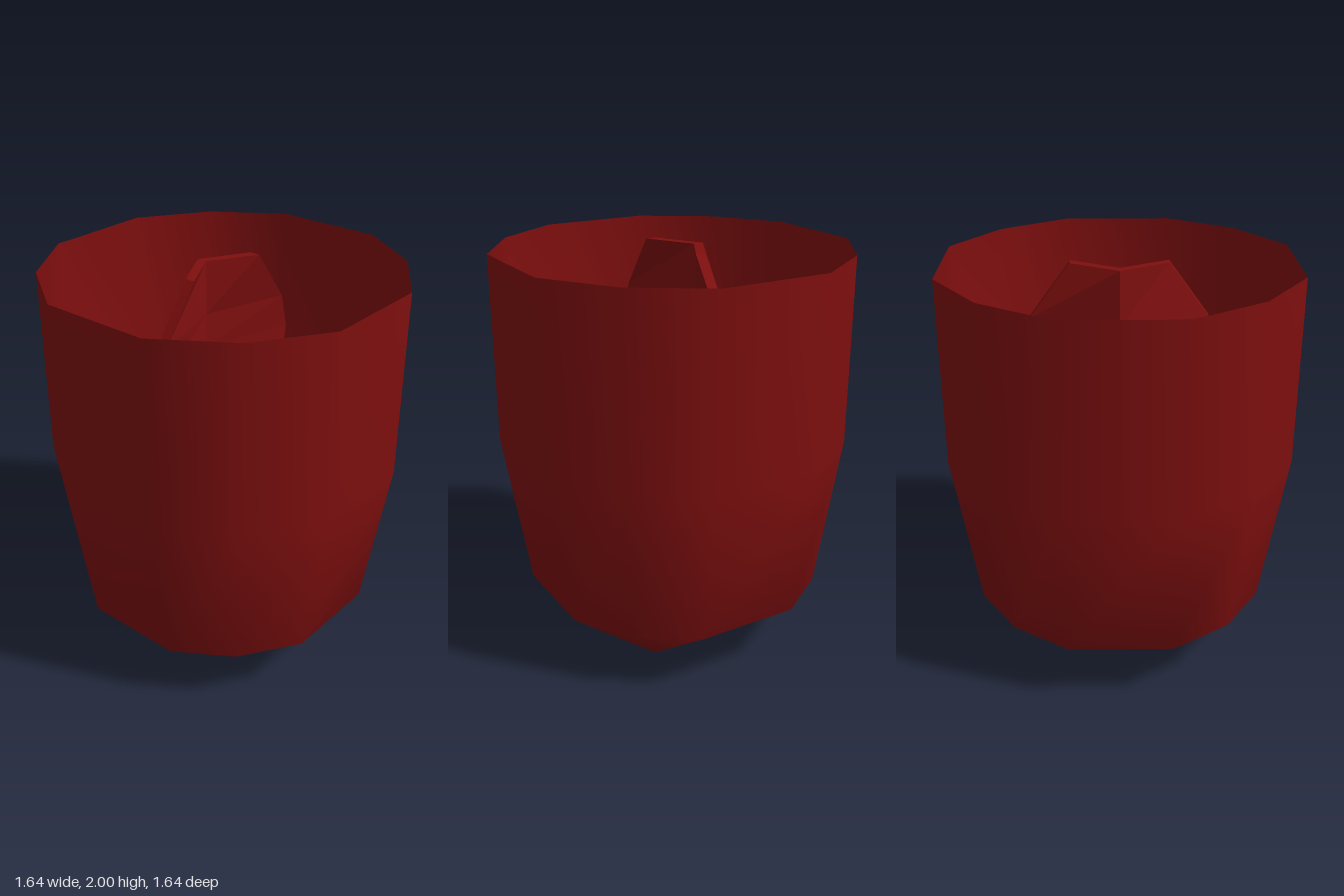
import * as THREE from 'three';
import { mergeVertices } from 'three/addons/utils/BufferGeometryUtils.js';

// Skin a stack of rings (bottom to top, counter-clockwise from above);
// caps are extra quads given as [ring, a, b, c, d]
function loft(rings, caps) {
  const n = rings[0].length;
  const index = [];
  const quad = (a, b, c, d) => index.push(a, b, c, a, c, d);
  for (let i = 0; i < rings.length - 1; i++) {
    for (let j = 0; j < n; j++) {
      const k = (j + 1) % n;
      quad(i * n + j, i * n + k, (i + 1) * n + k, (i + 1) * n + j);
    }
  }
  for (const [ring, ...corners] of caps) quad(...corners.map((c) => ring * n + c));
  const geometry = new THREE.BufferGeometry();
  geometry.setAttribute('position', new THREE.Float32BufferAttribute(rings.flat(2), 3));
  geometry.setIndex(index);
  return geometry;
}

// Twelve-sided ring: three points per quadrant, turned four times
function cupRing(y, quadrant) {
  const ring = [];
  for (let q = 0; q < 4; q++) {
    for (const [u, v] of quadrant) {
      const [x, z] = [[u, -v], [-v, -u], [-u, v], [v, u]][q];
      ring.push([x, y, z]);
    }
  }
  return ring;
}

export function createModel() {
  const model = new THREE.Group();
  const red = new THREE.MeshStandardMaterial({ color: 0x800f0f, side: THREE.DoubleSide });
  red.name = 'darkRed';

  // Open cup: the lowest ring shrinks each quadrant to one corner of a square
  const base = [0.27, 0.27];
  const wall = [[0.82, 0.27], [0.6, 0.6], [0.27, 0.82]];
  const cupGeometry = mergeVertices(loft([
    cupRing(0, [base, base, base]),
    cupRing(0.32, [[0.7, 0.25], [0.52, 0.52], [0.25, 0.7]]),
    cupRing(1.1, wall),
    cupRing(2, wall),
  ], [[0, 9, 6, 3, 0]]));
  cupGeometry.computeVertexNormals();
  const cup = new THREE.Mesh(cupGeometry, red);
  cup.name = 'cup';
  model.add(cup);

  // Folded plate standing inside: [height, half width] from bottom to top
  const rows = [[1.05, 0.23], [1.3, 0.42], [1.57, 0.46], [1.74, 0.42], [2, 0.23]];
  const plateGeometry = loft(rows.map(([y, w]) => [
    [0.02, y, w], [-0.11, y, 0], [0.02, y, -w],
    [-0.03, y, -w], [-0.16, y, 0], [-0.03, y, w],
  ]), [[4, 0, 1, 4, 5], [4, 1, 2, 3, 4], [0, 5, 4, 1, 0], [0, 4, 3, 2, 1]]).toNonIndexed();
  plateGeometry.computeVertexNormals();
  const plate = new THREE.Mesh(plateGeometry, red);
  plate.name = 'innerPlate';
  model.add(plate);

  return model;
}
